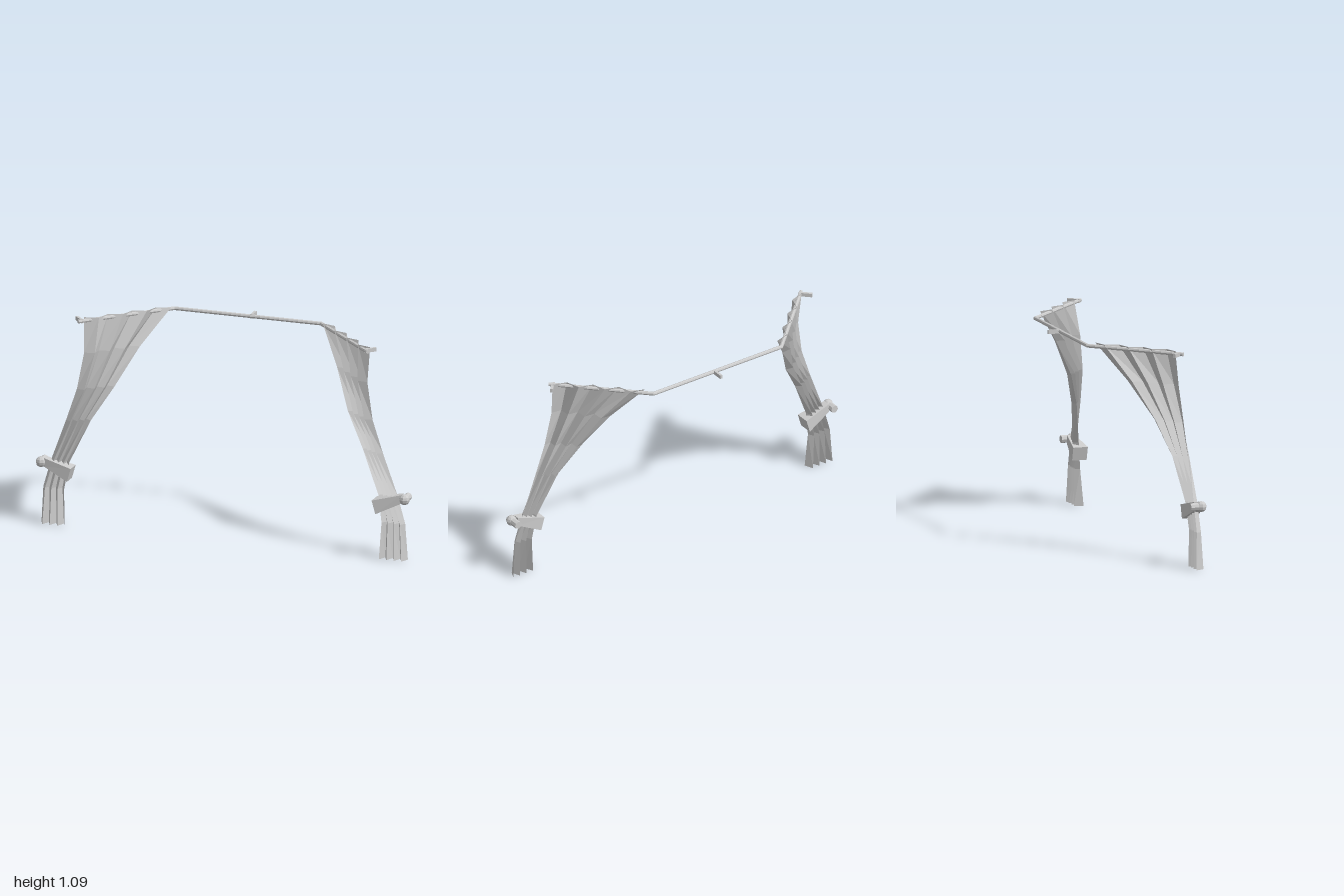
import * as THREE from 'three';

const grey = new THREE.MeshStandardMaterial({ color: 0xcccccc, flatShading: true });
const cloth = new THREE.MeshStandardMaterial({ color: 0xcccccc, flatShading: true, side: THREE.DoubleSide });

function add(parent, name, geometry, material = grey) {
  const mesh = new THREE.Mesh(geometry, material);
  mesh.name = name;
  parent.add(mesh);
  return mesh;
}

// Straight bar between two points
function bar(parent, name, a, b, radius, sides) {
  const from = new THREE.Vector3(...a), to = new THREE.Vector3(...b);
  const dir = to.clone().sub(from);
  const mesh = add(parent, name, new THREE.CylinderGeometry(radius, radius, dir.length(), sides));
  mesh.position.copy(from).add(to).multiplyScalar(0.5);
  mesh.quaternion.setFromUnitVectors(new THREE.Vector3(0, 1, 0), dir.normalize());
  return mesh;
}

// Curtain levels: y, outer x, outer z, inner x, inner z, pleat depth
const LEVELS = [
  [1.09, 0.753, 0.167, 0.418, -0.16, 0.035],
  [0.91, 0.745, 0.187, 0.54, -0.03, 0.035],
  [0.72, 0.78, 0.203, 0.635, 0.08, 0.033],
  [0.55, 0.84, 0.207, 0.735, 0.145, 0.03],
  [0.33, 0.925, 0.21, 0.83, 0.19, 0.03],
  [0.19, 0.967, 0.212, 0.85, 0.205, 0.03],
  [0, 0.98, 0.213, 0.84, 0.213, 0.045],
];
const FOLDS = 7;

// Pleated cloth: a zigzag across each level, joined level to level
function curtainGeometry(side) {
  const pos = [], index = [];
  for (const [y, ox, oz, ix, iz, depth] of LEVELS) {
    const dx = ix - ox, dz = iz - oz, len = Math.hypot(dx, dz);
    for (let i = 0; i <= FOLDS; i++) {
      const t = i / FOLDS, off = (i % 2 ? -0.5 : 0.5) * depth;
      pos.push(side * (ox + dx * t - (dz / len) * off), y, oz + dz * t + (dx / len) * off);
    }
  }
  const w = FOLDS + 1;
  for (let r = 0; r < LEVELS.length - 1; r++) {
    for (let i = 0; i < FOLDS; i++) {
      const a = r * w + i, b = a + 1, c = a + w, d = c + 1;
      index.push(...(side > 0 ? [a, b, c, b, d, c] : [a, c, b, b, c, d]));
    }
  }
  const g = new THREE.BufferGeometry();
  g.setAttribute('position', new THREE.Float32BufferAttribute(pos, 3));
  g.setIndex(index);
  g.computeVertexNormals();
  return g;
}

// Tieback band: a box that widens and drops towards its inner end
function bandGeometry(side) {
  const g = new THREE.BoxGeometry(1, 1, 1);
  const p = g.attributes.position;
  for (let i = 0; i < p.count; i++) {
    const t = 0.5 - side * p.getX(i), v = p.getY(i), w = p.getZ(i);
    p.setXYZ(i,
      side * (0.955 - 0.14 * t - 0.02 * v * t),
      0.325 - 0.05 * t + v * (0.045 + 0.025 * t),
      0.207 + w * (0.04 + 0.038 * t));
  }
  g.computeVertexNormals();
  return g;
}

export function createModel() {
  const model = new THREE.Group();
  model.name = 'bayWindowCurtains';

  // Bay rod: three straight runs
  const rod = new THREE.Group();
  rod.name = 'curtainRod';
  model.add(rod);
  const Y = 1.075;
  const path = [[-0.785, Y, 0.19], [-0.402, Y, -0.187], [0.382, Y, -0.187], [0.765, Y, 0.19]];
  for (let i = 0; i < 3; i++) bar(rod, 'rodSection', path[i], path[i + 1], 0.01, 8);
  for (const p of path.slice(1, 3)) {
    add(rod, 'rodElbow', new THREE.SphereGeometry(0.01, 8, 6)).position.set(...p);
  }

  // Wall brackets, each square to its run of rod
  for (const [x, z, angle] of [[0.01, -0.217, 0], [-0.79, 0.155, Math.PI / 4], [0.765, 0.155, -Math.PI / 4]]) {
    const bracket = add(rod, 'wallBracket', new THREE.BoxGeometry(0.013, 0.02, 0.068));
    bracket.position.set(x, Y, z);
    bracket.rotation.y = angle;
  }

  for (const side of [1, -1]) {
    const set = new THREE.Group();
    set.name = side > 0 ? 'leftCurtainSet' : 'rightCurtainSet';
    model.add(set);
    add(set, 'curtain', curtainGeometry(side), cloth);
    add(set, 'tiebackBand', bandGeometry(side));

    // Holdback: knob on a stem reaching back to the wall
    const x = side * 0.972, y = 0.325;
    add(set, 'holdbackKnob', new THREE.SphereGeometry(0.028, 8, 6)).position.set(x, y, 0.22);
    bar(set, 'holdbackStem', [x, y, 0.16], [x, y, 0.215], 0.02, 8);
  }
  return model;
}
